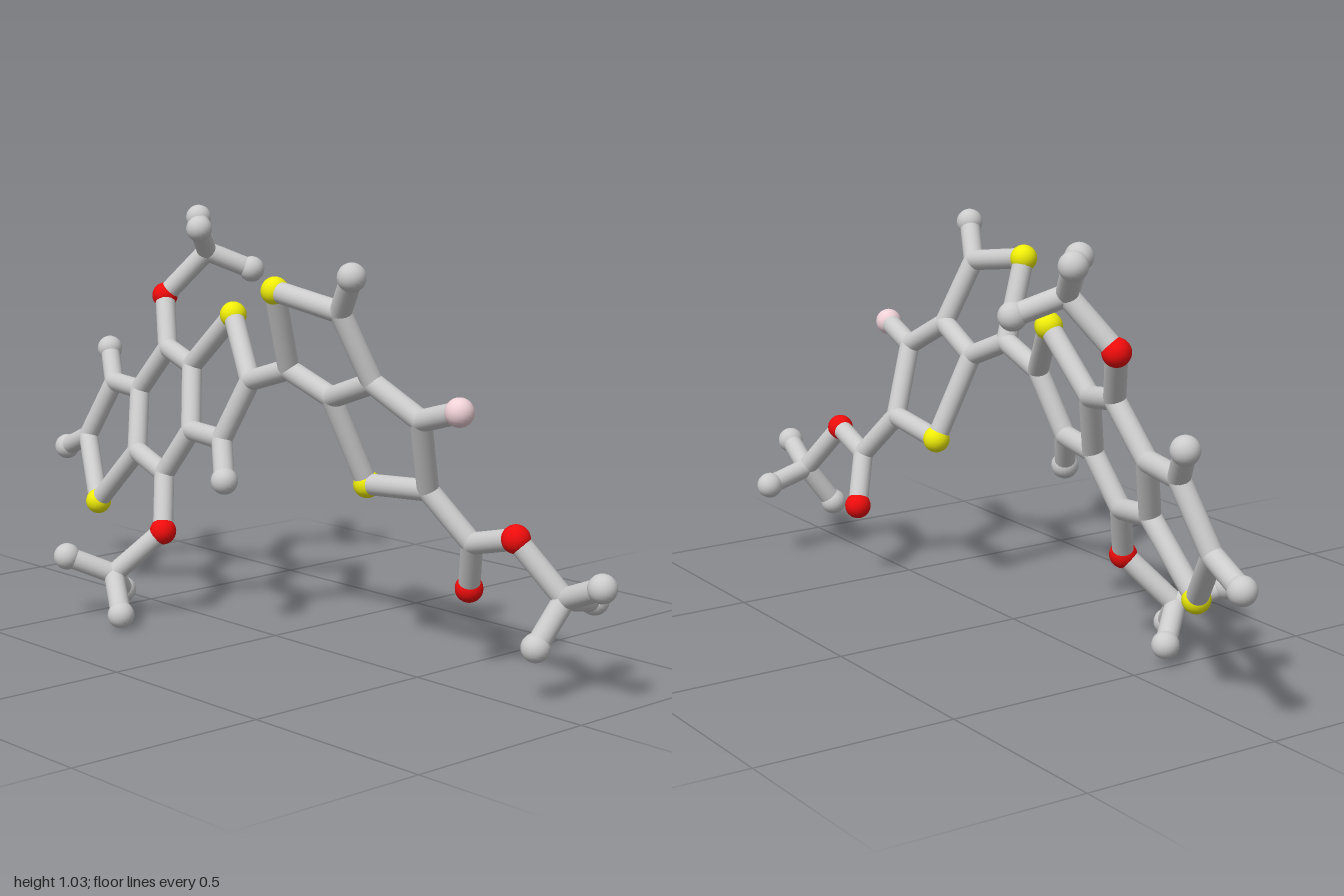
import * as THREE from 'three';

const BOND = 0.026, BALL = 0.034;
const COLORS = { sulfur: 0xf0ee08, oxygen: 0xf00c0c, fluorine: 0xf0d2d8 };

// The two flat ring systems each lie in a tilted plane: z follows from x and y.
const planeA = (x, y) => new THREE.Vector3(x, y, 0.244 + 0.2215 * x - 0.299 * y);
const planeB = (x, y) => new THREE.Vector3(x, y, -0.228 + 0.0185 * x + 0.4 * y);
const free = (x, y, z) => new THREE.Vector3(x, y, z);
const opposite = (v) => free(-0.9 - v.x, 1.037 - v.y, -v.z);

export function createModel() {
  const model = new THREE.Group();
  model.name = 'molecule';
  const grey = new THREE.MeshStandardMaterial({ color: 0xcccccc });
  const ballGeo = new THREE.SphereGeometry(BALL, 20, 14);
  const jointGeo = new THREE.SphereGeometry(BOND, 20, 14);
  const mats = {};
  for (const k in COLORS) mats[k] = new THREE.MeshStandardMaterial({ color: COLORS[k] });

  const atom = (kind, p, parent) => {
    const m = new THREE.Mesh(kind === 'carbon' ? jointGeo : ballGeo, mats[kind] || grey);
    m.name = kind + 'Atom';
    m.position.copy(p);
    parent.add(m);
    return p;
  };
  const bond = (a, b, parent) => {
    const d = b.clone().sub(a);
    const m = new THREE.Mesh(new THREE.CylinderGeometry(BOND, BOND, d.length(), 20, 1, true), grey);
    m.name = 'bond';
    m.position.copy(a).addScaledVector(d, 0.5);
    m.quaternion.setFromUnitVectors(new THREE.Vector3(0, 1, 0), d.normalize());
    parent.add(m);
  };
  const chain = (points, parent) => {
    for (let i = 1; i < points.length; i++) bond(points[i - 1], points[i], parent);
  };
  const part = (name) => {
    const g = new THREE.Group();
    g.name = name;
    model.add(g);
    return g;
  };
  // A carbon with three end balls, joined through an oxygen to its ring
  const methoxy = (name, root, o, c, ends) => {
    const g = part(name);
    atom('oxygen', o, g);
    atom('carbon', c, g);
    chain([root, o, c], g);
    for (const e of ends) bond(c, atom('hydrogen', e, g), g);
  };

  // Left system: six-sided ring between two five-sided rings
  const left = part('leftRingSystem');
  const A = [
    [-0.505, 0.672], [-0.355, 0.645], [-0.285, 0.49],
    [-0.375, 0.368], [-0.548, 0.398], [-0.61, 0.55],
  ].map((p) => atom('carbon', planeA(...p), left));
  chain([...A, A[0]], left);
  const s1 = atom('sulfur', planeA(-0.2, 0.788), left);
  const link = atom('carbon', planeA(-0.047, 0.645), left);
  const c1 = atom('carbon', planeA(-0.122, 0.492), left);
  chain([A[1], s1, link, c1, A[2]], left);
  bond(c1, atom('hydrogen', planeA(-0.065, 0.4), left), left);
  const s2 = atom('sulfur', planeA(-0.705, 0.24), left);
  const c2 = atom('carbon', planeA(-0.852, 0.392), left);
  const c3 = atom('carbon', planeA(-0.768, 0.55), left);
  chain([A[4], s2, c2, c3, A[5]], left);
  bond(c2, atom('hydrogen', planeA(-0.967, 0.345), left), left);
  bond(c3, atom('hydrogen', planeA(-0.838, 0.632), left), left);

  // Two side groups, point-symmetric about the middle of the left system
  const upperC = free(-0.49, 0.92, -0.192);
  const upperEnds = [free(-0.585, 1.002, -0.243), free(-0.42, 0.988, -0.108), free(-0.418, 0.872, -0.287)];
  methoxy('upperMethoxy', A[0], planeA(-0.585, 0.8), upperC, upperEnds);
  methoxy('lowerMethoxy', A[3], planeA(-0.315, 0.232), opposite(upperC), upperEnds.map(opposite));

  // Right system: two fused five-sided rings
  const right = part('rightRingSystem');
  const B = [
    [0.105, 0.69], [0.235, 0.635], [0.4, 0.69], [0.36, 0.855],
    [0.27, 0.42], [0.485, 0.438], [0.53, 0.615],
  ].map((p, i) => atom(i === 4 ? 'sulfur' : 'carbon', planeB(...p), right));
  const s3 = atom('sulfur', planeB(0.145, 0.888), right);
  chain([s3, B[0], B[1], B[2], B[3], s3], right);
  chain([B[1], B[4], B[5], B[6], B[2]], right);
  bond(B[3], atom('hydrogen', planeB(0.435, 0.943), right), right);
  bond(B[6], atom('fluorine', planeB(0.667, 0.653), right), right);

  // Bridge between the systems
  bond(link, B[0], part('bridge'));

  // Ester group at the lower right
  const ester = part('ester');
  const c4 = atom('carbon', planeB(0.585, 0.322), ester);
  bond(B[5], c4, ester);
  bond(c4, atom('oxygen', planeB(0.53, 0.197), ester), ester);
  methoxy('esterMethoxy', c4, planeB(0.737, 0.36), free(0.84, 0.232, -0.122), [
    free(0.965, 0.282, -0.102), free(0.82, 0.128, -0.05), free(0.822, 0.204, -0.247),
  ]);
  return model;
}
